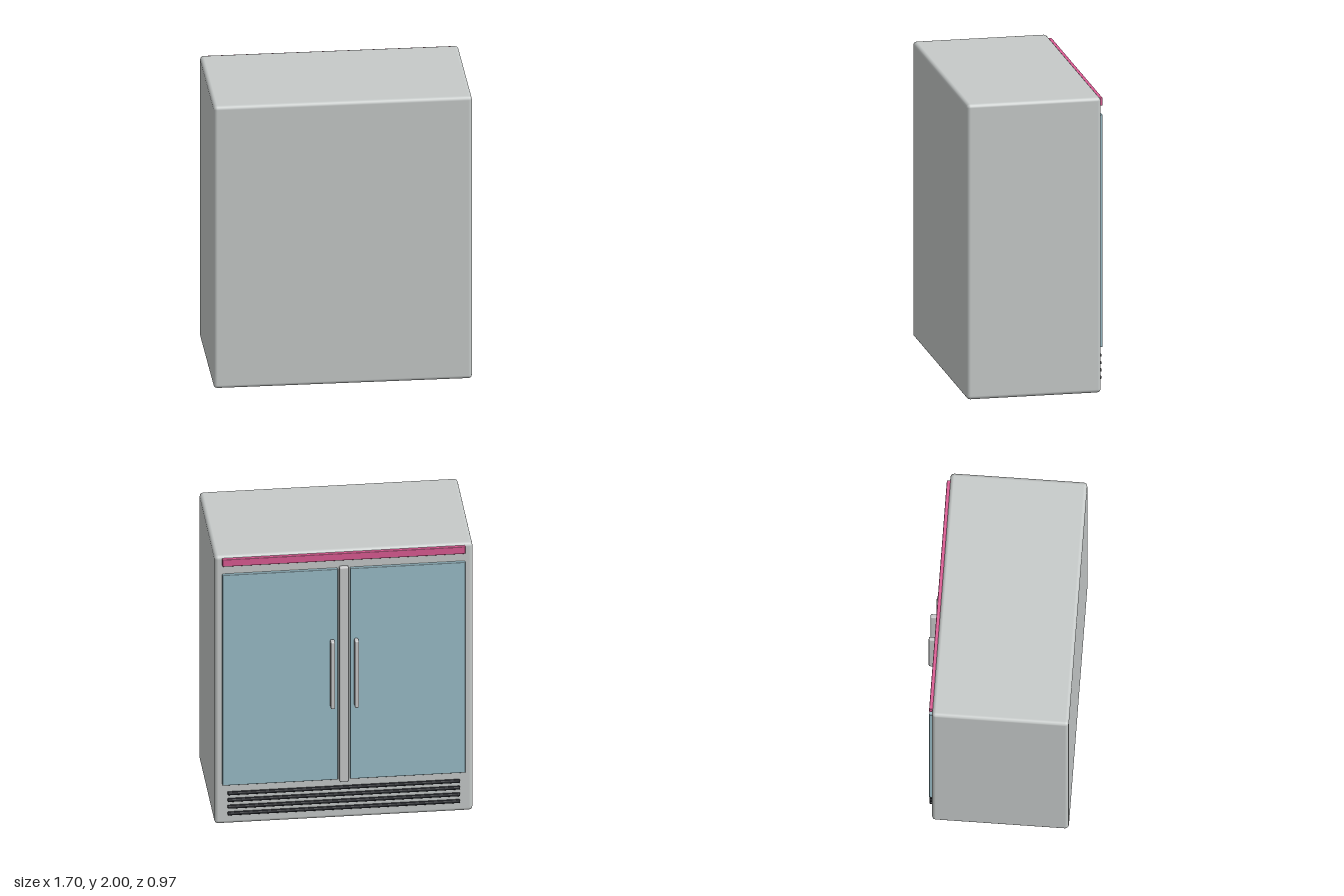
import * as THREE from 'three';
import { RoundedBoxGeometry } from 'three/addons/geometries/RoundedBoxGeometry.js';

function material(name, color) {
  const m = new THREE.MeshStandardMaterial({ color });
  m.name = name;
  return m;
}

export function createModel() {
  const group = new THREE.Group();
  group.name = 'doubleDoorCooler';

  const cabinetGrey = material('cabinet grey', 0xc6cac9);
  const trimGrey = material('trim grey', 0xc8c9ca);
  const glassBlue = material('glass blue', 0x9abdc8);
  const pink = material('sign pink', 0xda5a92);
  const black = material('vent black', 0x24262b);

  // Rounded box given by its lower and upper limits on each axis
  function block(name, mat, [x0, x1], [y0, y1], [z0, z1], radius, segments = 2) {
    const geometry = new RoundedBoxGeometry(x1 - x0, y1 - y0, z1 - z0, segments, radius);
    const mesh = new THREE.Mesh(geometry, mat);
    mesh.name = name;
    mesh.position.set((x0 + x1) / 2, (y0 + y1) / 2, (z0 + z1) / 2);
    group.add(mesh);
    return mesh;
  }

  // Cabinet
  block('cabinet', cabinetGrey, [-0.85, 0.85], [0.003, 2], [-0.411, 0.487], 0.025);

  // Sign strip above the doors
  block('signStrip', pink, [-0.8, 0.8], [1.932, 1.985], [-0.432, -0.405], 0.005);

  // Glass doors and their handles, mirrored about the centre post
  for (const side of [-1, 1]) {
    const span = (a, b) => (side > 0 ? [a, b] : [-b, -a]);
    const label = side > 0 ? 'left' : 'right';
    block(label + 'Door', glassBlue, span(0.04, 0.8), [0.3, 1.87], [-0.432, -0.405], 0.005);
    block(label + 'Handle', trimGrey, span(0.065, 0.093), [0.855, 1.355], [-0.487, -0.437], 0.009);
  }

  // Centre post
  block('centrePost', trimGrey, [-0.03, 0.03], [0.285, 1.883], [-0.441, -0.405], 0.008);

  // Vent slats below the doors
  for (let i = 0; i < 4; i++) {
    const y = 0.085 + i * 0.05;
    block('ventSlat' + (i + 1), black, [-0.765, 0.765], [y - 0.01, y + 0.01], [-0.432, -0.405], 0.006);
  }

  return group;
}
